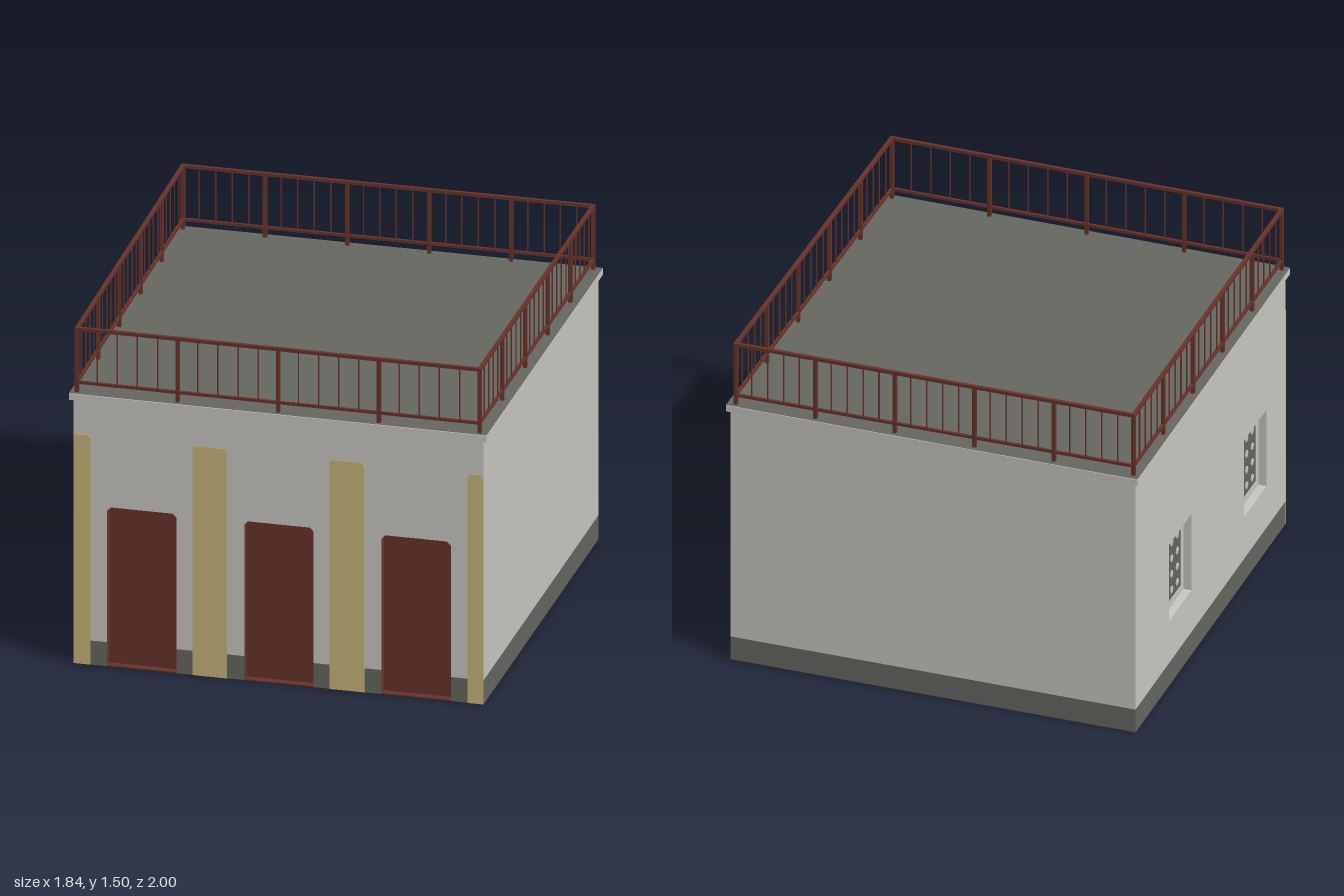
import * as THREE from 'three';

const mat = (name, color, side = THREE.FrontSide) => {
  const m = new THREE.MeshStandardMaterial({ color, side });
  m.name = name;
  return m;
};

// corner order: front left, front right, back right, back left, as [x, z]
const WALLS = [[-0.876, 0.95], [0.902, 0.984], [0.902, -0.953], [-0.907, -0.98]];
const ROOF = [[-0.892, 0.963], [0.918, 0.998], [0.918, -0.97], [-0.922, -1.0]];
const RAIL = [[-0.864, 0.936], [0.882, 0.972], [0.882, -0.946], [-0.893, -0.966]];
const BASE = 0.108, EAVE = 1.185, TOP = 1.215;
const DOOR_H = 0.715, DOOR_W = 0.3, RECESS = 0.04;

const poly = (pts) => new THREE.Shape(pts.map(([x, y]) => new THREE.Vector2(x, y)));
const rect = (x0, y0, x1, y1) => [[x0, y0], [x1, y0], [x1, y1], [x0, y1]];
const chamfered = (x0, y0, x1, y1, c) =>
  [[x0, y0], [x1, y0], [x1, y1 - c], [x1 - c, y1], [x0 + c, y1], [x0, y1 - c]];
const extrude = (shape, depth) => new THREE.ExtrudeGeometry(shape, { depth, bevelEnabled: false });

function add(parent, name, geometry, material, x = 0, y = 0, z = 0) {
  const mesh = new THREE.Mesh(geometry, material);
  mesh.name = name;
  mesh.position.set(x, y, z);
  parent.add(mesh);
  return mesh;
}

// group whose x axis runs from corner p to corner q, with z pointing outwards
function side(parent, name, p, q) {
  const g = new THREE.Group(), dx = q[0] - p[0], dz = q[1] - p[1];
  g.name = name;
  g.position.set(p[0], 0, p[1]);
  g.rotation.y = Math.atan2(-dz, dx);
  parent.add(g);
  return [g, Math.hypot(dx, dz)];
}

export function createModel() {
  const model = new THREE.Group();
  model.name = 'building';
  const plaster = mat('plaster', 0xcac8c2, THREE.DoubleSide);
  const grey = mat('dark grey', 0x676761, THREE.DoubleSide);
  const red = mat('dark red', 0x68332b);
  const yellow = mat('yellow', 0xc8b67b);

  // lining of a recess behind an opening
  const reveal = (g, name, x0, y0, x1, y1, material) => {
    const t = 0.004;
    const s = poly(rect(x0 - t, Math.max(0, y0 - t), x1 + t, y1 + t));
    s.holes.push(poly(rect(x0, Math.max(t, y0), x1, y1)));
    add(g, name, extrude(s, RECESS - 0.001), material, 0, 0, -RECESS);
  };

  const doors = [0.146, 0.741, 1.336];
  const windows = [0.432, 1.397];
  const WIN = { w: 0.29, y0: 0.305, y1: 0.67 };

  ['frontWall', 'rightWall', 'backWall', 'leftWall'].forEach((name, i) => {
    const [g, len] = side(model, name, WALLS[i], WALLS[(i + 1) % 4]);
    const openings = i === 0 ? doors : [];

    // plaster face, notched around the doors
    const outline = [[0, BASE]];
    for (const d of openings) {
      const e = d + DOOR_W, c = 0.016;
      outline.push([d, BASE], [d, DOOR_H - c], [d + c, DOOR_H], [e - c, DOOR_H], [e, DOOR_H - c], [e, BASE]);
    }
    outline.push([len, BASE], [len, EAVE], [0, EAVE]);
    const face = poly(outline);
    if (i === 3) {
      for (const w of windows) face.holes.push(poly(rect(w, WIN.y0, w + WIN.w, WIN.y1)));
    }
    add(g, 'plasterFace', new THREE.ShapeGeometry(face), plaster);

    // base band between the doors
    const ends = [0, ...openings.flatMap((d) => [d, d + DOOR_W]), len];
    for (let k = 0; k < ends.length; k += 2) {
      add(g, 'baseBand', new THREE.ShapeGeometry(poly(rect(ends[k], 0, ends[k + 1], BASE))), grey);
    }

    if (i === 0) {
      // recessed doors
      for (const d of doors) {
        reveal(g, 'doorFrame', d, 0, d + DOOR_W, DOOR_H, red);
        add(g, 'door', new THREE.BoxGeometry(DOOR_W, DOOR_H, 0.008), red, d + DOOR_W / 2, DOOR_H / 2, -RECESS);
      }
      // painted pilasters
      for (const [a, b] of [[0, 0.074], [0.516, 0.666], [1.111, 1.261], [1.71, len]]) {
        add(g, 'pilaster', extrude(poly(chamfered(a, 0, b, 1.03, 0.012)), 0.004), yellow, 0, 0, -0.002);
      }
    }

    if (i === 3) {
      // recessed windows with a pierced screen
      for (const w of windows) {
        const x1 = w + WIN.w, h = WIN.y1 - WIN.y0;
        reveal(g, 'windowReveal', w, WIN.y0, x1, WIN.y1, plaster);
        add(g, 'windowPane', new THREE.PlaneGeometry(WIN.w, h), grey, w + WIN.w / 2, WIN.y0 + h / 2, -RECESS);
        const border = poly(rect(w, WIN.y0, x1, WIN.y1));
        border.holes.push(poly(chamfered(w + 0.03, WIN.y0 + 0.03, x1 - 0.03, WIN.y1 - 0.03, 0.015)));
        add(g, 'screenBorder', extrude(border, 0.006), plaster, 0, 0, -RECESS - 0.003);
        for (let r = 0; r < 4; r++) {
          for (let c = 0; c < 3; c++) {
            const stud = new THREE.CylinderGeometry(0.017, 0.017, 0.006, 8).rotateX(Math.PI / 2);
            add(g, 'screenStud', stud, plaster, w + 0.073 + c * 0.072, WIN.y0 + 0.071 + r * 0.0745, -RECESS);
          }
        }
      }
    }
  });

  // cornice ring and flat roof
  const flat = (pts) => poly(pts.map(([x, z]) => [x, -z]));
  const ring = flat(ROOF);
  ring.holes.push(flat(WALLS));
  add(model, 'cornice', extrude(ring, TOP - EAVE - 0.002).rotateX(-Math.PI / 2), plaster, 0, EAVE, 0);
  add(model, 'roof', new THREE.ShapeGeometry(flat(ROOF)).rotateX(-Math.PI / 2), grey, 0, TOP, 0);

  // railing: bars, posts and thin balusters
  const bays = [4, 5, 5, 5], railTop = 1.505, T = 0.016;
  bays.forEach((n, i) => {
    const [g, len] = side(model, 'railing', RAIL[i], RAIL[(i + 1) % 4]);
    add(g, 'topRail', new THREE.BoxGeometry(len + T, 0.014, T), red, len / 2, railTop - 0.007, 0);
    add(g, 'bottomRail', new THREE.BoxGeometry(len, 0.012, 0.012), red, len / 2, 1.258, 0);
    for (let k = 0; k < n; k++) {
      const h = railTop - 0.01 - TOP;
      add(g, 'post', new THREE.BoxGeometry(T, h, T), red, (k * len) / n, TOP + h / 2, 0);
      for (let b = 1; b < 5; b++) {
        add(g, 'baluster', new THREE.BoxGeometry(0.005, 0.235, 0.005), red, ((k + b / 5) * len) / n, 1.377, 0);
      }
    }
  });

  return model;
}
